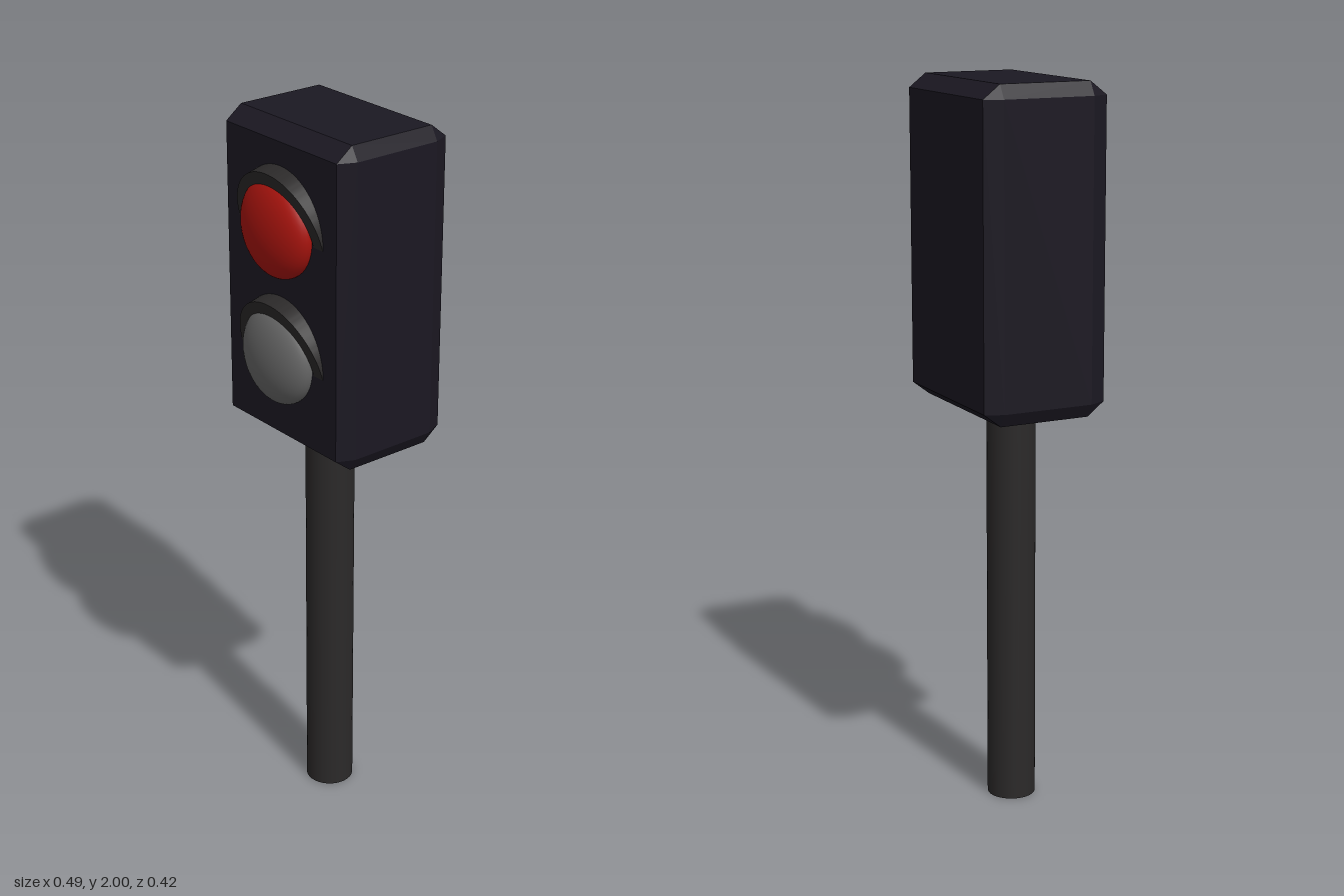
import * as THREE from 'three';
import { toCreasedNormals } from 'three/addons/utils/BufferGeometryUtils.js';
import { ConvexGeometry } from 'three/addons/geometries/ConvexGeometry.js';

const paint = (color) => new THREE.MeshStandardMaterial({ color });

// Box with chamfered edges: hull of three points per corner
function chamferedBox(hx, hy, hz, cx, cy, cz) {
  const points = [];
  for (const sx of [-1, 1]) for (const sy of [-1, 1]) for (const sz of [-1, 1]) {
    points.push(
      new THREE.Vector3(sx * hx, sy * (hy - cy), sz * (hz - cz)),
      new THREE.Vector3(sx * (hx - cx), sy * hy, sz * (hz - cz)),
      new THREE.Vector3(sx * (hx - cx), sy * (hy - cy), sz * hz));
  }
  return new ConvexGeometry(points);
}

// Half ring extruded along z, with its front rim at z = 0
function visorGeometry(outer, inner, depth) {
  const shape = new THREE.Shape();
  shape.absarc(0, 0, outer, 0, Math.PI, false);
  shape.absarc(0, 0, inner, Math.PI, 0, true);
  shape.closePath();
  const geometry = new THREE.ExtrudeGeometry(shape, { depth, bevelEnabled: false, curveSegments: 32 });
  geometry.translate(0, 0, -depth);
  return toCreasedNormals(geometry, 0.6);
}

export function createModel() {
  const model = new THREE.Group();
  const add = (name, geometry, material, x, y, z) => {
    const mesh = new THREE.Mesh(geometry, material);
    mesh.name = name;
    mesh.position.set(x, y, z);
    model.add(mesh);
    return mesh;
  };
  const dark = paint(0x1b1822);
  const metal = paint(0x2b2929);

  // Pole and signal housing
  add('pole', new THREE.CylinderGeometry(0.067, 0.067, 1.15, 32), metal, 0, 0.575, -0.02);
  add('housing', chamferedBox(0.243, 0.4375, 0.176, 0.022, 0.037, 0.048), dark, 0, 1.5625, -0.034);

  // Lamps: flattened domes, each under a tilted half-round visor
  const visor = visorGeometry(0.17, 0.133, 0.1);
  const lens = new THREE.SphereGeometry(0.133, 40, 24);
  lens.scale(1, 1, 0.45);
  const lamps = [['upper', 1.738, 0xa8140e], ['lower', 1.388, 0x666666]];
  for (const [name, y, color] of lamps) {
    add(name + 'Lens', lens, paint(color), -0.005, y, 0.149);
    add(name + 'Visor', visor, metal, 0, y - 0.013, 0.143).rotation.x = 0.26;
  }
  return model;
}
